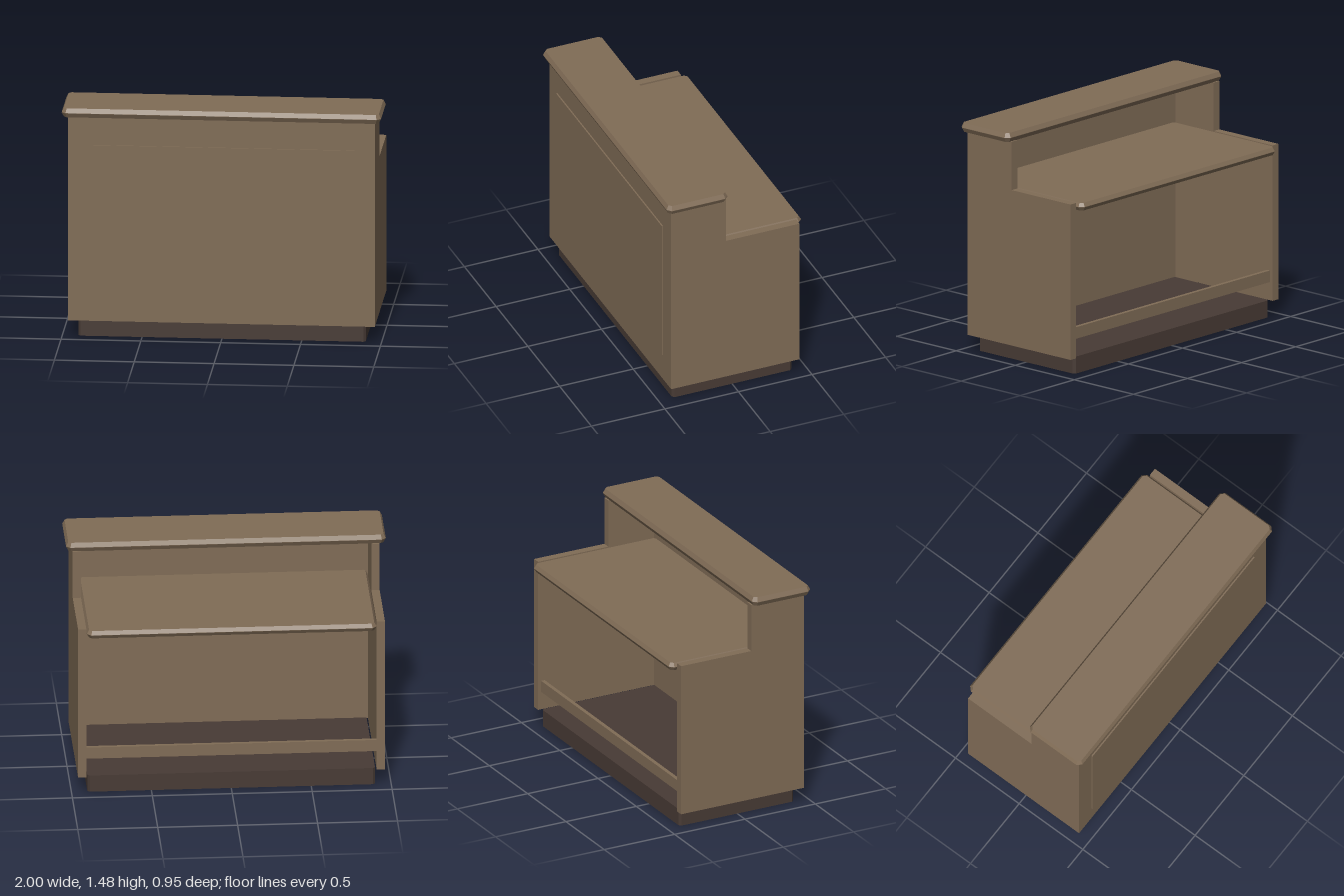
import * as THREE from 'three';

const wood = new THREE.MeshStandardMaterial({ color: 0x806c56 });
wood.name = 'brown wood';
const dark = new THREE.MeshStandardMaterial({ color: 0x483b35 });
dark.name = 'dark plinth';

// Horizontal slab with clipped corners; a bevel gives a pointed edge at mid height
function slab(x, z0, z1, y0, y1, clip, bevel) {
  const a = x - bevel, b = -z1 + bevel, c = -z0 - bevel;
  const shape = new THREE.Shape([
    [-a + clip, b], [a - clip, b], [a, b + clip], [a, c - clip],
    [a - clip, c], [-a + clip, c], [-a, c - clip], [-a, b + clip],
  ].map(([u, v]) => new THREE.Vector2(u, v)));
  const core = bevel ? 0.002 : y1 - y0;
  const thick = (y1 - y0 - core) / 2;
  const geo = new THREE.ExtrudeGeometry(shape, {
    depth: core, bevelEnabled: bevel > 0, bevelSegments: 1,
    bevelSize: bevel, bevelThickness: thick,
  });
  return geo.rotateX(-Math.PI / 2).translate(0, y0 + thick, 0);
}

// Box given by its limits, symmetric in x
function board(x, y0, y1, z0, z1) {
  return new THREE.BoxGeometry(2 * x, y1 - y0, z1 - z0)
    .translate(0, (y0 + y1) / 2, (z0 + z1) / 2);
}

export function createModel() {
  const group = new THREE.Group();
  group.name = 'receptionCounter';
  const add = (name, geo, mat = wood) => {
    const mesh = new THREE.Mesh(geo, mat);
    mesh.name = name;
    group.add(mesh);
    return mesh;
  };

  add('plinth', slab(0.9, -0.41, 0.405, 0, 0.11, 0.015, 0), dark);

  // Stepped side panels, drawn in the z-y plane
  const profile = new THREE.Shape([
    [-0.44, 0.107], [0.432, 0.107], [0.432, 1.114],
    [-0.067, 1.114], [-0.067, 1.427], [-0.44, 1.427],
  ].map(([u, v]) => new THREE.Vector2(u, v)));
  const t = 0.052;
  for (const [name, x] of [['leftSide', 0.96 - t], ['rightSide', -0.96]]) {
    add(name, new THREE.ExtrudeGeometry(profile, { depth: t, bevelEnabled: false })
      .rotateY(Math.PI / 2).translate(x, 0, 0));
  }

  // Front wall and its raised plate
  add('frontWall', board(0.96 - t, 0.107, 1.427, 0.39, 0.44));
  add('frontPlate', board(0.833, 0.287, 1.245, 0.44, 0.449));

  // Tops with pointed edges
  add('upperTop', slab(1, 0.064, 0.477, 1.426, 1.484, 0.018, 0.014));
  add('workTop', slab(0.906, -0.477, 0.41, 1.064, 1.114, 0.018, 0.014));

  // Rail across the open back
  add('footRail', board(0.96 - t, 0.225, 0.3, -0.41, -0.385));

  return group;
}
